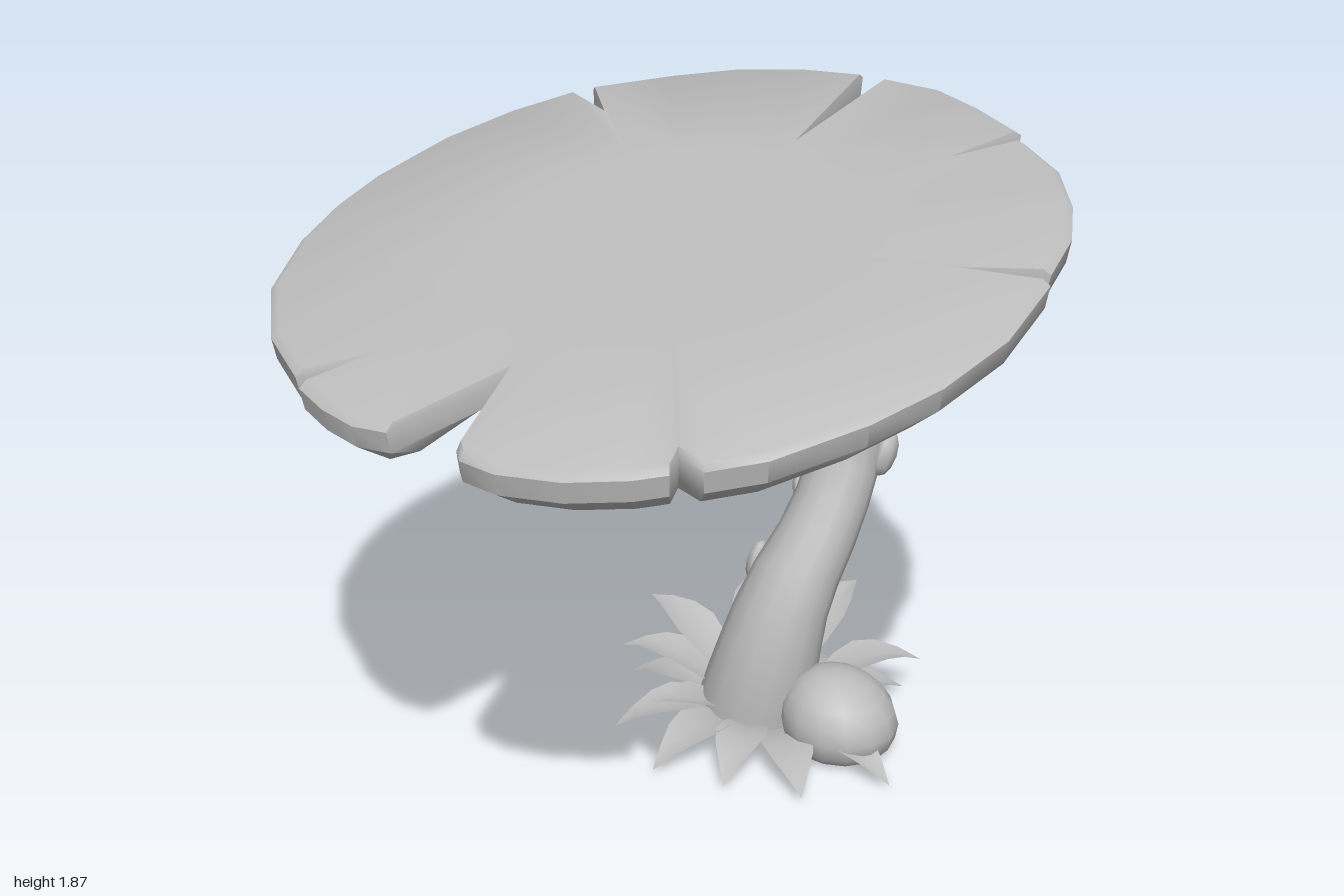
import * as THREE from 'three';
import { toCreasedNormals } from 'three/addons/utils/BufferGeometryUtils.js';

const V = (x, y, z) => new THREE.Vector3(x, y, z);

// Skin between consecutive rings of points; rings may be closed or open strips
function loft(rings, closed = true, crease = 0.7) {
  const n = rings[0].length, index = [];
  for (let r = 0; r < rings.length - 1; r++) {
    for (let j = 0; j < (closed ? n : n - 1); j++) {
      const k = (j + 1) % n;
      const a = r * n + j, b = r * n + k, c = a + n, d = b + n;
      index.push(a, c, d, a, d, b);
    }
  }
  const g = new THREE.BufferGeometry().setFromPoints(rings.flat());
  g.setIndex(index);
  return toCreasedNormals(g, crease);
}

// Pad outline (x, z), from the front notch round by the model's left side
const OUTLINE = [
  [0, 0.68], [0.09, 0.96], [0.12, 0.985], [0.22, 0.99], [0.37, 0.95], [0.5, 0.88], [0.56, 0.83],
  [0.54, 0.77], [0.62, 0.79], [0.72, 0.7], [0.84, 0.5], [0.91, 0.32], [0.945, 0.1], [0.92, -0.14],
  [0.72, -0.11], [0.9, -0.18], [0.87, -0.34], [0.8, -0.48], [0.69, -0.62], [0.54, -0.72],
  [0.42, -0.57], [0.51, -0.76], [0.35, -0.84], [0.2, -0.895], [0.03, -0.9],
  [0, -0.5], [-0.05, -0.9], [-0.22, -0.87], [-0.4, -0.8], [-0.55, -0.7], [-0.72, -0.56],
  [-0.6, -0.45], [-0.76, -0.51], [-0.85, -0.35], [-0.92, -0.15], [-0.95, 0.1], [-0.94, 0.25],
  [-0.9, 0.42], [-0.8, 0.63], [-0.63, 0.8], [-0.45, 0.9],
  [-0.34, 0.77], [-0.41, 0.93], [-0.3, 0.97], [-0.19, 0.99], [-0.1, 0.975],
];

// Tilted pad with a bulging underside split by a central groove
function padGeometry() {
  const cz = 0.05;
  const ring = (scale, depth, round) => OUTLINE.map(([x, z]) => {
    const dx = x, dz = z - cz;
    const s = round ? scale / Math.hypot(dx, dz) : scale;
    const px = dx * s, pz = cz + dz * s;
    const groove = depth > 0.1 ? 0.4 + 0.6 * Math.min(1, Math.abs(px) / 0.15) : 1;
    return V(px, 1.7 - 0.2 * pz - depth * groove, pz);
  });
  return loft([
    ring(0, 0), ring(0.46, 0, true), ring(0.98, 0), ring(1, 0.015), ring(0.99, 0.07),
    ring(0.9, 0.145), ring(0.46, 0.17, true), ring(0.2, 0.17, true), ring(0, 0.17),
  ], true, 0.75);
}

// Stem stations: x, y, z, radius across, radius in the bending plane
const STEM = [
  [-0.1, 0.01, -0.48, 0.18, 0.17], [-0.06, 0.2, -0.485, 0.16, 0.155],
  [-0.02, 0.42, -0.53, 0.135, 0.125], [0.025, 0.65, -0.67, 0.11, 0.105],
  [0.025, 0.85, -0.765, 0.105, 0.1], [0, 1.02, -0.745, 0.1, 0.1],
  [-0.01, 1.16, -0.6, 0.1, 0.11], [0, 1.315, -0.38, 0.13, 0.155],
  [0, 1.44, -0.12, 0.195, 0.195], [0, 1.53, 0.03, 0.19, 0.13], [0, 1.56, 0.11, 0.13, 0.07],
];

function stemGeometry() {
  const path = new THREE.CatmullRomCurve3(STEM.map(s => V(s[0], s[1], s[2])));
  const radii = new THREE.CatmullRomCurve3(STEM.map(s => V(s[3], s[4], 0)));
  const rings = [], steps = 22, sides = 14;
  const X = V(1, 0, 0);
  for (let i = 0; i <= steps; i++) {
    const t = i / steps, c = path.getPoint(t), r = radii.getPoint(t);
    const N = X.clone().cross(path.getTangent(t)).normalize();
    rings.push(Array.from({ length: sides }, (_, j) => {
      const a = (j / sides) * Math.PI * 2;
      return c.clone().addScaledVector(X, Math.cos(a) * r.x).addScaledVector(N, Math.sin(a) * r.y);
    }));
  }
  const last = rings[steps].map(() => path.getPoint(1));
  return loft([rings[0].map(() => path.getPoint(0)), ...rings, last], true, 1.0);
}

// Pointed leaf from the rosette centre to its tip, arched and creased on the midrib
function leafGeometry(base, tip, width, arch) {
  const along = tip.clone().sub(base);
  const side = V(along.z, 0, -along.x).normalize();
  const profile = [0.3, 0.5, 0.85, 1, 0.8, 0.42, 0];
  const rows = profile.map((w, i) => {
    const t = i / (profile.length - 1);
    const mid = base.clone().addScaledVector(along, t);
    mid.y += arch * 4 * t * (1 - t);
    return [1, 0, -1].map(k => {
      const p = mid.clone().addScaledVector(side, k * w * width / 2);
      p.y += Math.abs(k) * w * 0.02;
      return p;
    });
  });
  return loft(rows, false, 1.0);
}

export function createModel() {
  const model = new THREE.Group();
  model.name = 'lilyPadTable';
  const grey = new THREE.MeshStandardMaterial({ color: 0xbcbcbc, side: THREE.DoubleSide });
  grey.name = 'plain grey';
  const add = (name, geometry) => {
    const mesh = new THREE.Mesh(geometry, grey);
    mesh.name = name;
    model.add(mesh);
    return mesh;
  };

  add('pad', padGeometry());
  add('stem', stemGeometry());

  // Small buds on the stem: position, length, lean about x and z
  const buds = [
    [0.145, 1.26, -0.31, 0.09, 0.9, 0], [0.14, 0.82, -0.79, 0.14, -0.3, -0.15],
    [0.03, 0.98, -0.87, 0.13, -0.1, 0], [-0.05, 0.73, -0.83, 0.1, -0.4, 0],
    [-0.08, 1.28, -0.6, 0.09, 0.8, 0.2], [-0.09, 0.7, -0.7, 0.09, -0.4, 0.1],
    [-0.135, 0.49, -0.55, 0.13, -0.2, -0.15], [-0.12, 1.18, -0.5, 0.07, 0.9, 0],
    [0.06, 0.5, -0.68, 0.1, -0.5, 0],
  ];
  for (const [x, y, z, size, rx, rz] of buds) {
    const bud = add('stemBud', new THREE.SphereGeometry(0.5, 7, 6));
    bud.scale.set(size * 0.45, size, size * 0.6);
    bud.rotation.set(rx, 0, rz);
    bud.position.set(x, y, z);
  }

  // Rounded rock beside the stem
  const rock = add('rock', new THREE.SphereGeometry(1, 14, 10));
  rock.scale.set(0.175, 0.155, 0.165);
  rock.position.set(0.2, 0.1, -0.49);
  const rp = rock.geometry.attributes.position;
  for (let i = 0; i < rp.count; i++) {
    const y = rp.getY(i);
    rp.setY(i, Math.max(y, -0.5));
    if (y > 0) rp.setX(i, rp.getX(i) - 0.12 * y);
  }
  rock.geometry = toCreasedNormals(rock.geometry, 0.9);

  // Leaf rosette: tip x, y, z, then width and arch; flat lower leaves, raised upper ones
  const leaves = [
    [0.44, 0.02, -0.38, 0.16, 0.06], [0.28, 0.03, -0.17, 0.15, 0.05], [0.06, 0.02, -0.1, 0.15, 0.06],
    [-0.15, 0.02, -0.05, 0.16, 0.06], [-0.38, 0.02, -0.17, 0.16, 0.06], [-0.53, 0.02, -0.45, 0.16, 0.05],
    [-0.4, 0.01, -0.82, 0.17, 0.05], [-0.1, 0.01, -0.9, 0.17, 0.04], [0.2, 0.02, -0.86, 0.17, 0.05],
    [-0.53, 0.24, -0.56, 0.15, 0.06], [-0.49, 0.17, -0.36, 0.15, 0.07], [-0.39, 0.2, -0.9, 0.16, 0.07],
    [-0.06, 0.245, -1.0, 0.15, 0.07], [0.25, 0.13, -0.87, 0.15, 0.08], [-0.27, 0.13, -0.2, 0.14, 0.03],
  ];
  for (const [x, y, z, width, arch] of leaves) {
    const base = V(-0.06, 0.03, -0.5).lerp(V(x, 0.03, z), 0.2);
    add(y > 0.1 ? 'upperLeaf' : 'lowerLeaf', leafGeometry(base, V(x, y, z), width, arch));
  }
  return model;
}
